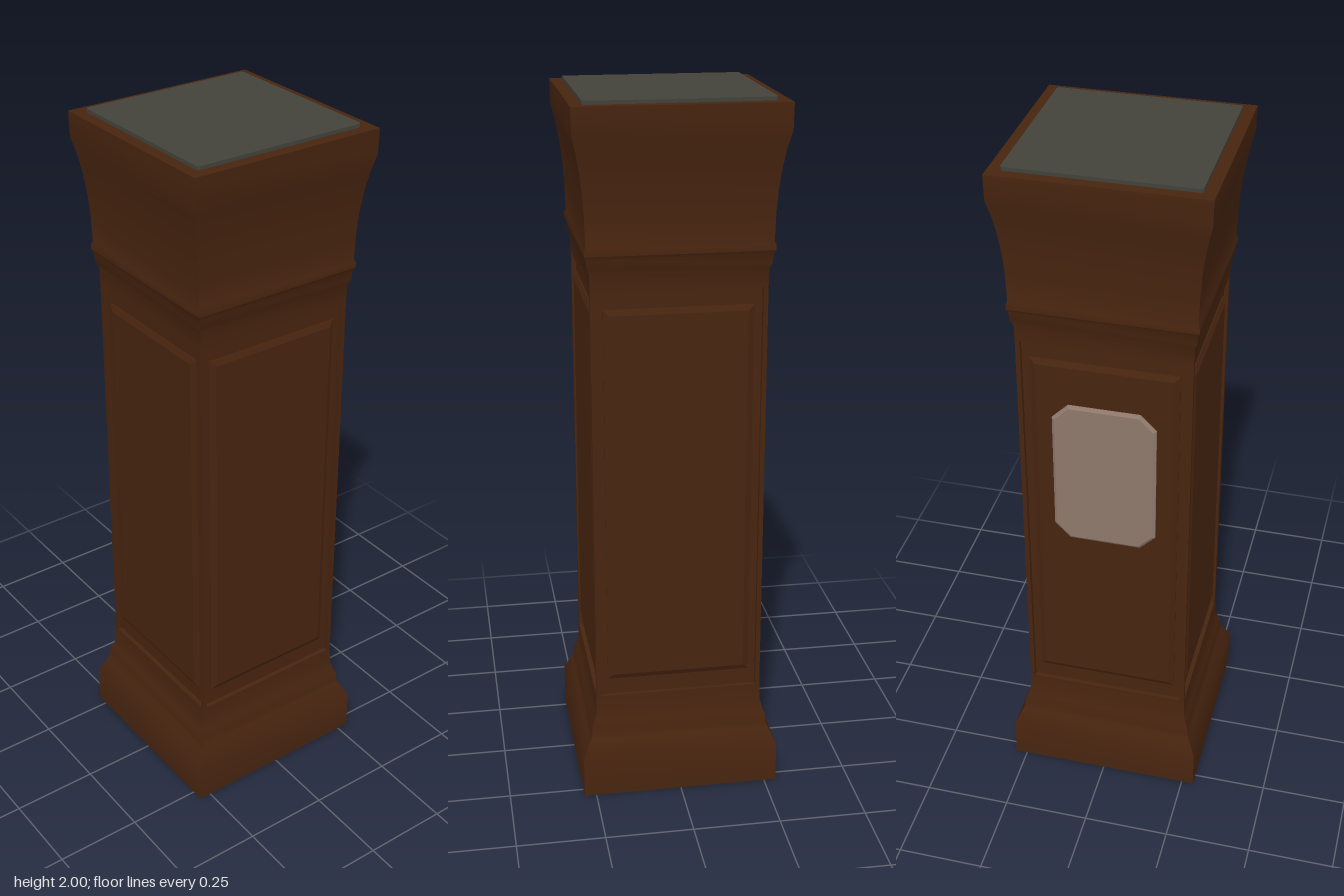
import * as THREE from 'three';
import { toCreasedNormals } from 'three/addons/utils/BufferGeometryUtils.js';

const wood = new THREE.MeshStandardMaterial({ color: 0x47240f, side: THREE.DoubleSide });
wood.name = 'dark wood';
const slate = new THREE.MeshStandardMaterial({ color: 0x42423b });
slate.name = 'slate';
const plate = new THREE.MeshStandardMaterial({ color: 0x8f786c });
plate.name = 'pale metal';

function add(parent, name, geometry, material) {
  const mesh = new THREE.Mesh(geometry, material);
  mesh.name = name;
  parent.add(mesh);
  return mesh;
}

// Square moulding swept from [half width, height] points
function squareMoulding(points) {
  const profile = points.map(([half, y]) => new THREE.Vector2(half * Math.SQRT2, y));
  return toCreasedNormals(new THREE.LatheGeometry(profile, 4, Math.PI / 4), 0.45);
}

// Rectangle with cut corners, centred on the origin
function cutRectangle(w, h, cut) {
  const x = w / 2, y = h / 2;
  return new THREE.Shape([
    [-x + cut, -y], [x - cut, -y], [x, -y + cut], [x, y - cut],
    [x - cut, y], [-x + cut, y], [-x, y - cut], [-x, -y + cut],
  ].map(([a, b]) => new THREE.Vector2(a, b)));
}

function rectangle(w, h) {
  const x = w / 2, y = h / 2;
  return new THREE.Shape([[-x, -y], [x, -y], [x, y], [-x, y]].map(([a, b]) => new THREE.Vector2(a, b)));
}

// Bevelled slab whose outer face lies at z = front
function bevelledSlab(shape, depth, bevel, rise, front) {
  const geometry = new THREE.ExtrudeGeometry(shape, {
    depth, bevelEnabled: true, bevelSize: bevel, bevelThickness: rise,
    bevelOffset: -bevel, bevelSegments: 1,
  });
  return geometry.translate(0, 0, front - depth - rise);
}

export function createModel() {
  const model = new THREE.Group();
  model.name = 'pedestal';

  // Hollow body, open underneath
  add(model, 'base', squareMoulding([
    [0.285, 0], [0.285, 0.12], [0.262, 0.17], [0.257, 0.18], [0.256, 0.205],
    [0.248, 0.225], [0.242, 0.25], [0.24, 0.3], [0.227, 0.3],
  ]), wood);
  add(model, 'shaft', squareMoulding([[0.227, 0.3], [0.227, 1.5]]), wood);
  add(model, 'capital', squareMoulding([
    [0.227, 1.5], [0.24, 1.5], [0.241, 1.55], [0.248, 1.565], [0.25, 1.59],
    [0.255, 1.6], [0.255, 1.615], [0.251, 1.625], [0.253, 1.7], [0.257, 1.76],
    [0.264, 1.82], [0.274, 1.875], [0.285, 1.92], [0.286, 1.99], [0.24, 1.99],
  ]), wood);

  // Each side has a corner post and a raised panel
  for (let i = 0; i < 4; i++) {
    const side = new THREE.Group();
    side.name = 'side';
    side.rotation.y = i * Math.PI / 2;
    model.add(side);
    add(side, 'cornerPost', new THREE.BoxGeometry(0.013, 1.2, 0.013), wood)
      .position.set(0.2335, 0.9, 0.2335);
    add(side, 'panel', bevelledSlab(rectangle(0.41, 1.1), 0.004, 0.016, 0.008, 0.238), wood)
      .position.y = 0.9;
  }

  // Eight-sided plaque on the right side
  const plaque = add(model, 'plaque', bevelledSlab(cutRectangle(0.29, 0.45, 0.045), 0.004, 0.008, 0.006, 0.248), plate);
  plaque.rotation.y = -Math.PI / 2;
  plaque.position.y = 1.095;

  // Inset top with small cut corners
  const top = new THREE.ExtrudeGeometry(cutRectangle(0.506, 0.506, 0.006), { depth: 0.02, bevelEnabled: false });
  top.rotateX(-Math.PI / 2);
  add(model, 'topSlab', top, slate).position.y = 1.98;

  return model;
}
